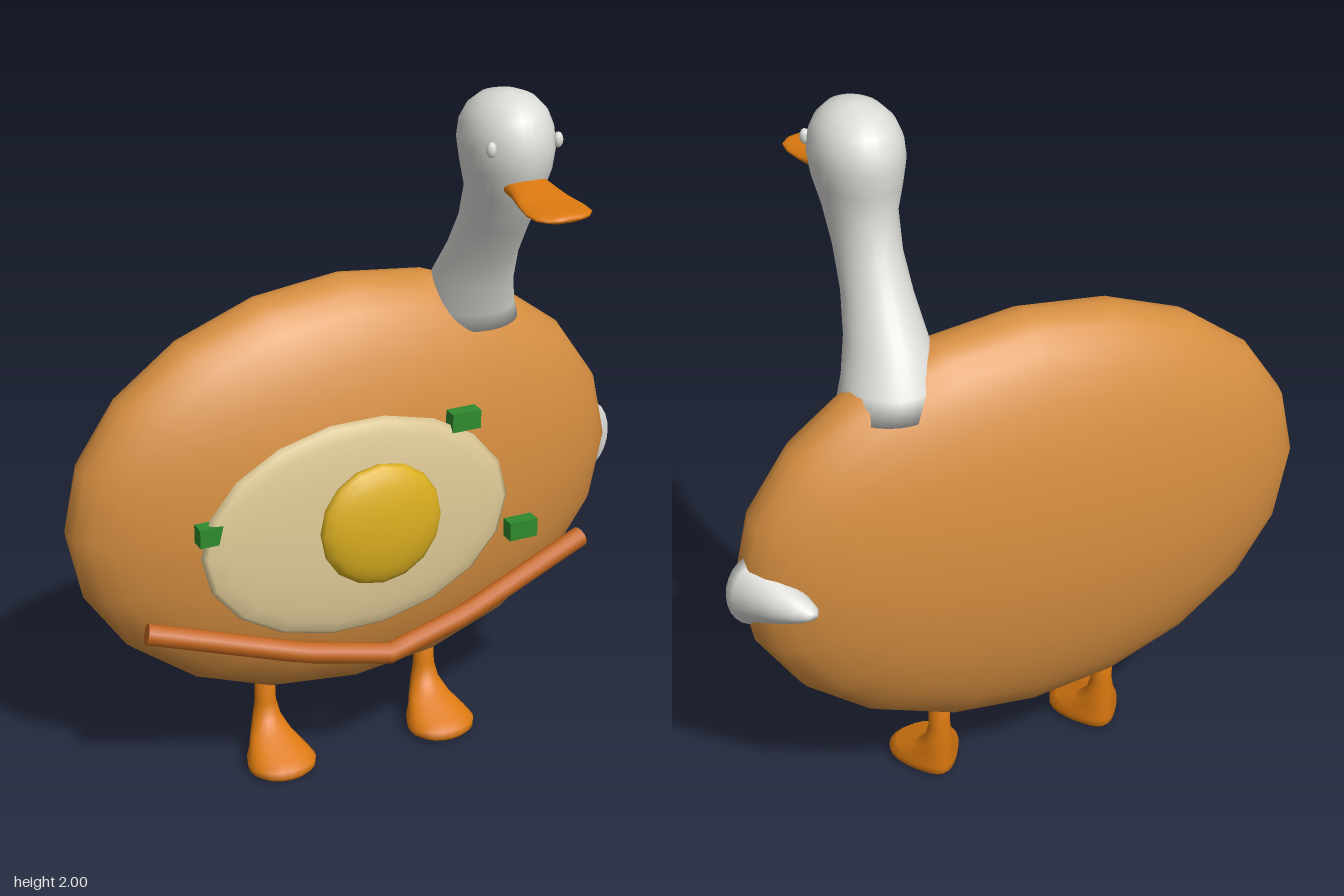
import * as THREE from 'three';

const paint = (name, color) => {
  const m = new THREE.MeshStandardMaterial({ color });
  m.name = name;
  return m;
};

// Smooth closed skin over elliptical rings. Each ring is [t, cx, c2, r1, r2, taper].
// axis 'y': t is height (rising); axis 'z': t is depth (from front to back).
function loft(axis, rings, n = 24) {
  const pos = [], idx = [];
  const put = (t, a, b) => (axis === 'y' ? pos.push(a, t, b) : pos.push(a, b, t));
  rings.forEach(([t, cx, c2, r1, r2, taper = 0]) => {
    for (let j = 0; j < n; j++) {
      const a = (j / n) * Math.PI * 2, s = Math.sin(a);
      put(t, cx + r1 * Math.cos(a) * (1 + taper * s), c2 + r2 * s);
    }
  });
  for (let i = 0; i < rings.length - 1; i++) {
    for (let j = 0; j < n; j++) {
      const k = (j + 1) % n, a = i * n + j, b = i * n + k;
      idx.push(a, a + n, b, b, a + n, b + n);
    }
  }
  const last = rings.length - 1, c = rings.length * n;
  put(...rings[0]);
  put(...rings[last]);
  for (let j = 0; j < n; j++) {
    const k = (j + 1) % n;
    idx.push(c, j, k, c + 1, last * n + k, last * n + j);
  }
  const g = new THREE.BufferGeometry();
  g.setAttribute('position', new THREE.Float32BufferAttribute(pos, 3));
  g.setIndex(idx);
  g.computeVertexNormals();
  return g;
}

// Ellipsoid with its poles on the z axis
function ellipsoid(rx, ry, rz, around, along) {
  return new THREE.SphereGeometry(1, around, along).rotateX(Math.PI / 2).scale(rx, ry, rz);
}

export function createModel() {
  const group = new THREE.Group();
  const toast = paint('toasted brown', 0xd68e40);
  const white = paint('feather white', 0xdcdcd8);
  const cream = paint('egg cream', 0xe0cb98);
  const yellow = paint('yolk yellow', 0xdcb020);
  const rust = paint('sausage brown', 0xc4661f);
  const orange = paint('foot orange', 0xdd7a10);
  const green = paint('herb green', 0x2f8a2e);

  const add = (name, geometry, material, x = 0, y = 0, z = 0) => {
    const mesh = new THREE.Mesh(geometry, material);
    mesh.name = name;
    mesh.position.set(x, y, z);
    group.add(mesh);
    return mesh;
  };

  // Flattened body with the fried egg in front
  add('body', ellipsoid(0.83, 0.625, 0.25, 20, 20), toast, -0.02, 0.825, -0.182);
  add('eggWhite', ellipsoid(0.46, 0.32, 0.043, 18, 12), cream, -0.11, 0.828, 0.1);
  add('yolk', ellipsoid(0.18, 0.18, 0.055, 16, 12), yellow, -0.065, 0.85, 0.155);

  // Herb pieces
  [[-0.533, 0.895], [0.214, 1.083], [0.4, 0.71]].forEach(([x, y]) =>
    add('herbPiece', new THREE.BoxGeometry(0.086, 0.054, 0.042), green, x, y, 0.095));

  // Bent sausage across the belly
  const bend = new THREE.CurvePath();
  const pts = [[-0.69, 0.572, -0.015], [-0.265, 0.457, 0.075], [-0.015, 0.41, 0.107],
    [0.235, 0.457, 0.075], [0.66, 0.572, -0.015]].map((p) => new THREE.Vector3(...p));
  for (let i = 0; i < 4; i++) bend.add(new THREE.LineCurve3(pts[i], pts[i + 1]));
  add('sausage', new THREE.TubeGeometry(bend, 24, 0.03, 12), rust);
  [pts[0], pts[4]].forEach((p) => {
    const side = Math.sign(p.x);
    const end = add('sausageEnd', new THREE.CircleGeometry(0.03, 12), rust, p.x, p.y, p.z);
    end.lookAt(p.x + side * 0.425, p.y + 0.115, p.z - 0.09);
  });

  // Neck and head in one skin
  add('neckAndHead', loft('y', [
    [1.27, 0.36, -0.175, 0.142, 0.142], [1.33, 0.347, -0.15, 0.128, 0.142],
    [1.42, 0.34, -0.105, 0.108, 0.127], [1.52, 0.336, -0.043, 0.092, 0.115],
    [1.62, 0.334, 0.02, 0.086, 0.12], [1.72, 0.333, 0.07, 0.094, 0.132],
    [1.8, 0.333, 0.082, 0.114, 0.152], [1.86, 0.333, 0.082, 0.123, 0.159],
    [1.91, 0.333, 0.082, 0.118, 0.151], [1.95, 0.333, 0.084, 0.102, 0.127],
    [1.98, 0.333, 0.088, 0.073, 0.092], [1.995, 0.333, 0.092, 0.038, 0.05],
    [2.0, 0.333, 0.094, 0.005, 0.007],
  ], 28), white);

  // Eyes
  [-1, 1].forEach((s) =>
    add('eye', ellipsoid(0.014, 0.022, 0.014, 12, 8), white, 0.333 + s * 0.098, 1.88, 0.187));

  // Flat bill, from tip to root
  add('bill', loft('z', [
    [0.44, 0.331, 1.757, 0.035, 0.006], [0.43, 0.331, 1.757, 0.062, 0.011],
    [0.405, 0.331, 1.757, 0.083, 0.014], [0.36, 0.331, 1.757, 0.087, 0.015],
    [0.3, 0.331, 1.76, 0.077, 0.018], [0.24, 0.331, 1.768, 0.065, 0.028],
    [0.15, 0.331, 1.774, 0.058, 0.033],
  ]), orange);

  // Tail tuft at the side, tapering to the back
  add('tail', loft('z', [
    [-0.19, 0.765, 0.802, 0.08, 0.112], [-0.21, 0.758, 0.802, 0.076, 0.095],
    [-0.26, 0.74, 0.805, 0.068, 0.073], [-0.32, 0.712, 0.808, 0.055, 0.048],
    [-0.36, 0.688, 0.808, 0.037, 0.026], [-0.38, 0.677, 0.808, 0.015, 0.011],
  ]), white);

  // Legs flaring into webbed feet
  [-0.273, 0.239].forEach((x) =>
    add('legAndFoot', loft('y', [
      [0, 0, -0.1, 0.075, 0.1, 0.35], [0.012, 0, -0.102, 0.093, 0.111, 0.35],
      [0.032, 0, -0.104, 0.095, 0.111, 0.35], [0.052, 0, -0.115, 0.082, 0.1, 0.3],
      [0.08, 0, -0.158, 0.06, 0.058, 0.2], [0.12, 0, -0.18, 0.042, 0.037],
      [0.17, 0, -0.187, 0.031, 0.031], [0.26, 0, -0.188, 0.029, 0.029],
    ]), orange, x));

  return group;
}
